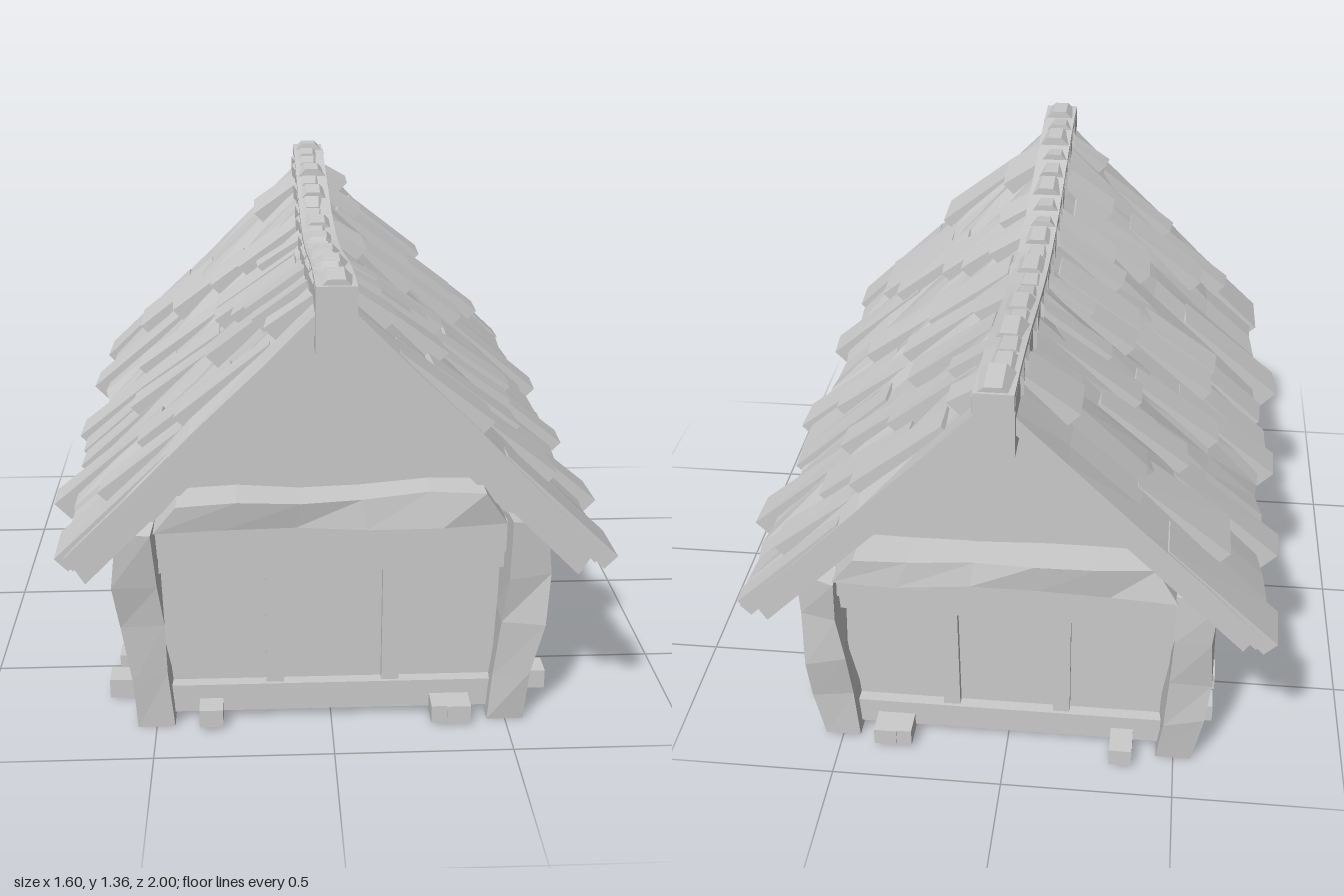
import * as THREE from 'three';

const mat = new THREE.MeshStandardMaterial({ color: 0xcccccc, flatShading: true, side: THREE.DoubleSide });

// repeatable noise in -1..1 from a position, so shared corners move together
const noise = (a, b, c, seed = 0) => {
  const s = Math.sin(Math.round(a * 1000) * 0.1271 + Math.round(b * 1000) * 0.3117 + Math.round(c * 1000) * 0.0747 + seed * 7.13) * 43758.5453;
  return (s - Math.floor(s)) * 2 - 1;
};

const sag = z => 0.1 * (1 - Math.min(1, z * z)) ** 2.5;

// point on a roof slope: t 0 at ridge, 1 at eave, h = height above the surface
const onRoof = (side, t, h, z) => {
  const x = 0.745 * t;
  return [side * (x + h * 0.7), 1.317 - 1.005 * x - sag(z) * (0.85 - 0.65 * t) + h * 0.72, z];
};

// move every vertex of a geometry by a rule
function bend(geo, rule) {
  const p = geo.attributes.position;
  for (let i = 0; i < p.count; i++) p.setXYZ(i, ...rule(p.getX(i), p.getY(i), p.getZ(i)));
  geo.computeVertexNormals();
  return geo;
}

export function createModel() {
  const model = new THREE.Group();
  const add = (name, geo, parent = model) => {
    const m = new THREE.Mesh(geo, mat);
    m.name = name;
    parent.add(m);
    return m;
  };
  const group = name => {
    const g = new THREE.Group();
    g.name = name;
    model.add(g);
    return g;
  };
  // box given by its limits
  const box = (name, x0, x1, y0, y1, z0, z1, parent) => {
    const m = add(name, new THREE.BoxGeometry(Math.abs(x1 - x0), y1 - y0, Math.abs(z1 - z0)), parent);
    m.position.set((x0 + x1) / 2, (y0 + y1) / 2, (z0 + z1) / 2);
    return m;
  };

  // walls with gables, one pentagon pulled along z
  const outline = new THREE.Shape([[-0.49, 0.02], [0.49, 0.02], [0.49, 0.68], [0, 1.16], [-0.49, 0.68]].map(p => new THREE.Vector2(...p)));
  const walls = new THREE.ExtrudeGeometry(outline, { depth: 1.54, bevelEnabled: false });
  walls.translate(0, 0, -0.77);
  add('walls', walls);

  // timber framing on the gable ends
  for (const s of [1, -1]) {
    const g = group(s > 0 ? 'frontFrame' : 'backFrame');
    box('sill', -0.5, 0.5, 0.025, 0.11, s * 0.7, s * 0.805, g);
    box('lowerRail', -0.5, 0.5, 0.47, 0.525, s * 0.7, s * 0.81, g);
    box('upperRail', -0.5, 0.5, 0.525, 0.62, s * 0.7, s * 0.825, g);
    for (const x of [-0.16, 0.17]) box('stud', x - 0.025, x + 0.025, 0.1, 0.48, s * 0.75, s * 0.795, g);
    // rough tie log, wider along its lower edge
    const log = bend(new THREE.BoxGeometry(0.9, 0.09, 0.12, 5, 1, 1), (x, y, z) => [
      x * (y > 0 ? 0.92 : 1.06) + 0.02 * noise(x, 0, 0, 3),
      y + 0.013 * noise(x, y, 0, s),
      z + 0.02 * noise(x, y, z, s)]);
    add('tieLog', log, g).position.set(0, 0.672, s * 0.82);
  }

  // timber framing on the long sides
  for (const s of [1, -1]) {
    const g = group(s > 0 ? 'leftFrame' : 'rightFrame');
    box('sill', s * 0.45, s * 0.515, 0.025, 0.11, -0.77, 0.77, g);
    box('wallPlate', s * 0.45, s * 0.525, 0.47, 0.64, -0.78, 0.78, g);
    for (const z of [-0.43, 0.45]) box('stud', s * 0.45, s * 0.51, 0.1, 0.48, z - 0.025, z + 0.025, g);
  }

  // windows with crossed bars on one long side
  const windows = group('windows');
  for (const zc of [-0.24, 0.24]) {
    const [a, b] = [zc - 0.15, zc + 0.15];
    for (const z of [a, zc, b]) box('windowUpright', -0.48, -0.525, 0.15, 0.46, z - 0.016, z + 0.016, windows);
    for (const y of [0.15, 0.3, 0.44]) box('windowBar', -0.48, -0.52, y, y + 0.03, a, b, windows);
    box('windowSill', -0.48, -0.55, 0.12, 0.155, a - 0.03, b + 0.03, windows);
  }

  // rough hewn corner posts leaning slightly outward
  const posts = group('cornerPosts');
  for (const sx of [1, -1]) for (const sz of [1, -1]) {
    const seed = sx * 2 + sz;
    const post = bend(new THREE.BoxGeometry(0.105, 0.63, 0.105, 1, 4, 1), (x, y, z) => {
      const k = y / 0.63 + 0.5, end = k < 0.01 ? 0 : 1;
      const bulge = 1 + 0.08 * Math.sin(k * Math.PI);
      return [
        sx * (0.5 + 0.04 * Math.min(1, k * 1.6)) + x * bulge + end * 0.012 * noise(x, y, z, seed),
        y + 0.315 + end * 0.02 * noise(x, y, z, seed + 9),
        sz * (0.79 + 0.035 * k) + z * bulge + end * 0.012 * noise(z, y, x, seed + 5)];
    });
    add('cornerPost', post, posts);
  }

  // stub ends of the floor joists
  const joists = group('joistEnds');
  for (const s of [1, -1]) {
    for (const z of [0.66, 0.52, 0.01, -0.51, -0.65]) box('sideJoist', s * 0.4, s * (0.63 + 0.015 * noise(z, s, 0)), 0.01, 0.068, z - 0.037, z + 0.037, joists);
    for (const x of [-0.34, 0.32, 0.365]) box('endJoist', x - 0.037, x + 0.03, 0.012, 0.066, s * 0.67, s * (0.89 + 0.02 * noise(x, s, 0)), joists);
  }

  // sagging roof slabs with an uneven lower edge
  const roof = group('roof');
  for (const s of [1, -1]) {
    const slab = bend(new THREE.BoxGeometry(1, 1, 1, 4, 1, 20), (u, v, w) => {
      const t = 0.5 + s * u, z = w * 1.95;
      const inside = Math.abs(w) < 0.49 ? 1 : 0.3;
      const edge = t > 0.99 ? -0.03 + 0.015 * noise(w, s, 0, 2) * inside : 0;
      const h = v > 0 ? 0.012 * noise(t, w, s, 4) * inside : -0.04;
      return onRoof(s, t + edge, h, z);
    });
    add('roofSlope', slab, roof);

    // rafters under each roof end, mitred at the ridge, in two steps
    for (const e of [1, -1]) for (const [drop, z0, z1, tEnd] of [[0.15, 0.82, 0.91, 0.9], [0.19, 0.75, 0.82, 0.72]]) {
      add('rafter', bend(new THREE.BoxGeometry(1, 1, 1), (u, v, w) => {
        const t = (0.5 + s * u) * tEnd;
        const [x, y, z] = onRoof(s, v > 0 && t > 0 ? t + 0.06 : t, 0, e * (z0 + z1) / 2 + w * (z1 - z0));
        return [x, y - (v > 0 ? 0.03 : drop), z];
      }), roof);
    }
  }

  // wedge shaped shingle: flush at its top, raised at its lower end
  const shingle = (s, t1, z, width, len, lift) => add('shingle', bend(new THREE.BoxGeometry(1, 1, 1), (u, v, w) => {
    const k = 0.5 + s * u;
    const h = v > 0 ? 0.004 + lift * k : -0.015 - 0.02 * k;
    return onRoof(s, t1 - len * (1 - k) + 0.012 * k * noise(w, z, s), h,
      Math.max(-0.975, Math.min(0.975, z + w * width * (0.9 + 0.1 * k))));
  }), roof);

  // scattered shingles: [z, width, distance of lower end down the slope]
  const leftTiles = [[0.89, 0.16, 0.52], [0.72, 0.18, 0.2], [0.72, 0.24, 0.79], [0.56, 0.16, 0.69], [0.4, 0.12, 0.17], [0.28, 0.1, 0.32],
    [0.4, 0.16, 0.43], [0.2, 0.08, 0.19], [0.2, 0.12, 0.75], [0.07, 0.14, 0.41], [-0.06, 0.11, 0.5], [-0.06, 0.13, 0.8], [-0.2, 0.14, 0.17],
    [-0.33, 0.14, 0.41], [-0.47, 0.11, 0.66], [-0.6, 0.09, 0.19], [-0.6, 0.14, 0.42], [-0.72, 0.14, 0.66], [-0.84, 0.1, 0.14],
    [-0.84, 0.12, 0.5], [-0.84, 0.12, 0.8]];
  const rightTiles = [[-0.72, 0.19, 0.78], [-0.72, 0.17, 0.22], [-0.5, 0.12, 0.62], [-0.38, 0.12, 0.43], [-0.28, 0.08, 0.3], [-0.2, 0.12, 0.74],
    [-0.1, 0.07, 0.22], [-0.08, 0.13, 0.4], [0.06, 0.13, 0.72], [0.06, 0.13, 0.4], [0.2, 0.12, 0.74], [0.22, 0.1, 0.32], [0.32, 0.1, 0.28],
    [0.45, 0.15, 0.42], [0.58, 0.1, 0.25], [0.7, 0.13, 0.66], [0.83, 0.1, 0.8], [0.83, 0.09, 0.52], [0.83, 0.08, 0.2]];
  // planks along the eave, the slab shows between them
  const leftEave = [[0.9, 0.15, 1], [0.53, 0.13, 1.01], [0.06, 0.13, 1.02], [-0.08, 0.14, 0.98], [-0.21, 0.12, 0.98], [-0.48, 0.13, 1.03], [-0.94, 0.07, 0.97]];
  const rightEave = [[0.87, 0.18, 0.98], [0.45, 0.13, 1.04], [0.21, 0.12, 0.98], [0.06, 0.12, 1], [-0.08, 0.13, 1.02], [-0.53, 0.12, 1.01], [-0.9, 0.15, 1]];
  for (const [s, tiles, eave] of [[1, leftTiles, leftEave], [-1, rightTiles, rightEave]]) {
    for (const [z, w, t] of tiles) shingle(s, t, z, w, Math.min(t, 0.3), 0.04);
    for (const [z, w, t] of eave) shingle(s, t, z, w, 0.4, t > 1 ? 0.03 : 0.012);
  }

  // sagging ridge beam
  add('ridgeBeam', bend(new THREE.BoxGeometry(0.105, 0.18, 2, 1, 1, 16), (x, y, z) => [x, y + 1.25 - sag(z), z]), roof);

  // rounded caps along the ridge
  const caps = group('ridgeCaps');
  for (let i = 0; i < 19; i++) {
    const z = -0.935 + i * 0.1039;
    const n = noise(i, 2, 5);
    const cap = new THREE.CylinderGeometry(0.053 + 0.006 * n, 0.06, 0.095 + 0.012 * n, 8).rotateX(Math.PI / 2).rotateZ(Math.PI / 8);
    const m = add('ridgeCap', cap, caps);
    m.position.set(0.006 * n - 0.004, 1.3 - sag(z) + 0.004 * n, z);
    m.rotation.x = 0.09 * noise(i, 8, 3);
  }
  return model;
}
